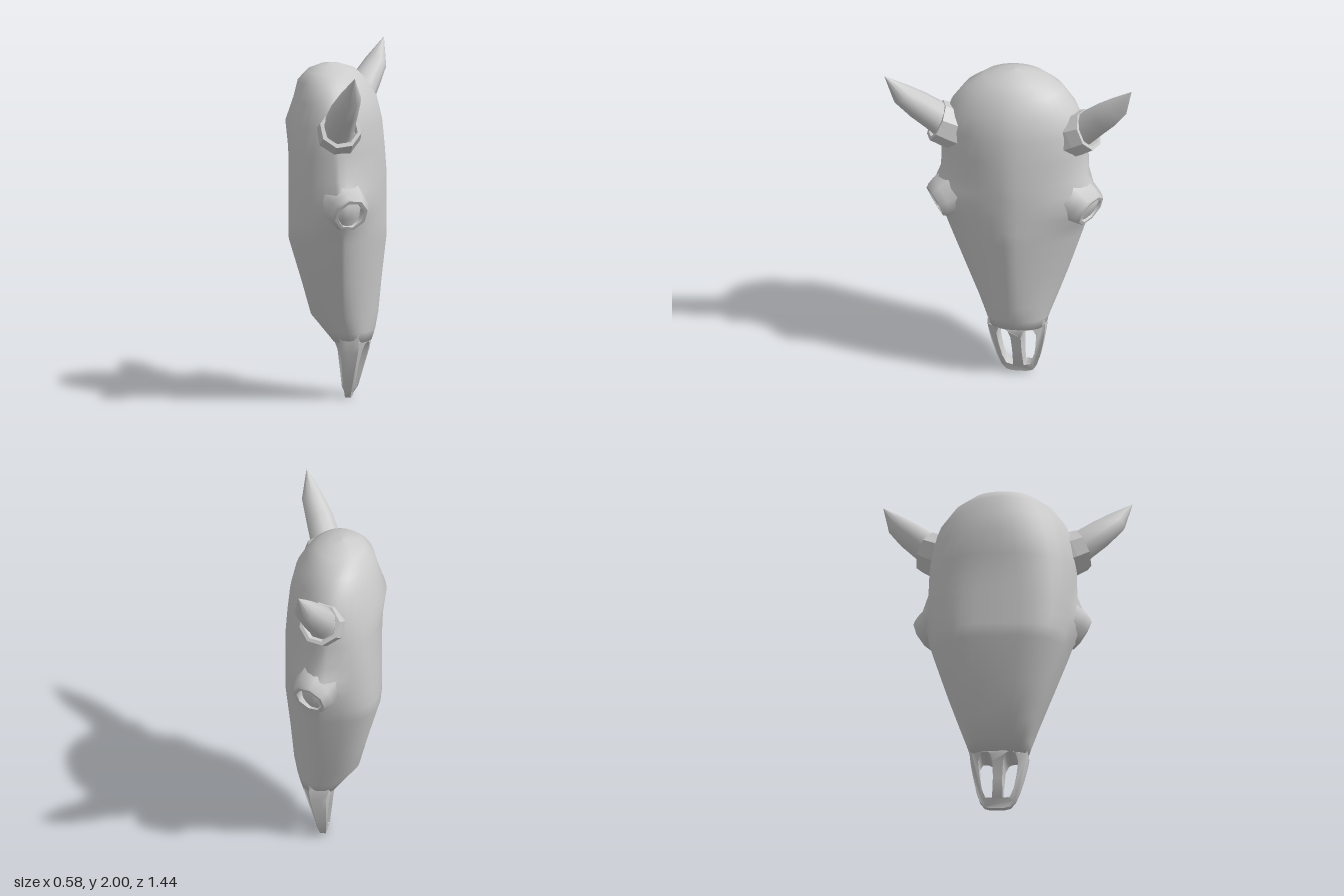
import * as THREE from 'three';
import { toCreasedNormals } from 'three/addons/utils/BufferGeometryUtils.js';

const V = (x, y, z) => new THREE.Vector3(x, y, z);
const material = new THREE.MeshStandardMaterial({ color: 0xcccccc, side: THREE.DoubleSide });
const facetedMaterial = new THREE.MeshStandardMaterial({ color: 0xcccccc, side: THREE.DoubleSide, flatShading: true });

function addMesh(parent, name, geometry, mat = material) {
  const mesh = new THREE.Mesh(geometry, mat);
  mesh.name = name;
  parent.add(mesh);
  return mesh;
}

// Skin a list of closed rings, each with the same number of points
function loft(rings) {
  const n = rings[0].length, index = [];
  for (let i = 0; i < rings.length - 1; i++) {
    for (let j = 0; j < n; j++) {
      const a = i * n + j, b = i * n + (j + 1) % n;
      index.push(a, a + n, b, b, a + n, b + n);
    }
  }
  const geometry = new THREE.BufferGeometry().setFromPoints(rings.flat());
  geometry.setIndex(index);
  geometry.computeVertexNormals();
  return geometry;
}

// Cranium and muzzle: [height, back, widest point, front, half width, back power, front power]
// (a power below 1 squares the section off, above 1 bevels it)
function skullGeometry() {
  const sections = [
    [0.345, 0.08, 0.09, 0.1, 0.005, 0.7, 0.9],
    [0.34, -0.02, 0.09, 0.195, 0.164, 0.6, 0.85],
    [0.4, -0.07, 0.08, 0.215, 0.185, 0.65, 1],
    [0.5, -0.15, 0.06, 0.235, 0.225, 0.65, 1.15],
    [0.7, -0.2, 0.06, 0.255, 0.3, 0.62, 1.3],
    [0.95, -0.27, 0.07, 0.285, 0.385, 0.62, 1.35],
    [1.03, -0.27, 0.06, 0.285, 0.4, 0.62, 1.3],
    [1.11, -0.27, 0.06, 0.285, 0.41, 0.65, 1.25],
    [1.18, -0.27, 0.06, 0.285, 0.415, 0.67, 1.25],
    [1.25, -0.27, 0.05, 0.285, 0.42, 0.7, 1.25],
    [1.33, -0.27, 0.04, 0.285, 0.42, 0.74, 1.25],
    [1.47, -0.275, 0.03, 0.275, 0.425, 0.85, 1.2],
    [1.62, -0.295, 0.02, 0.26, 0.415, 1.05, 1.12],
    [1.75, -0.25, 0, 0.23, 0.365, 1.1, 1.1],
    [1.85, -0.225, -0.02, 0.17, 0.285, 1.1, 1.1],
    [1.91, -0.17, -0.04, 0.11, 0.18, 1, 1],
    [1.94, -0.1, -0.04, 0.03, 0.08, 1, 1],
    [1.95, -0.041, -0.04, -0.039, 0.001, 1, 1],
  ];
  const sides = 36;
  return loft(sections.map(([y, back, mid, front, w, backPower, frontPower]) =>
    Array.from({ length: sides }, (_, j) => {
      const t = (j / sides) * Math.PI * 2, c = Math.cos(t), s = Math.sin(t);
      const p = c > 0 ? frontPower : backPower;
      const depth = c > 0 ? front - mid : mid - back;
      const x = mid + depth * Math.sign(c) * Math.abs(c) ** p;
      const z = w * Math.sign(s) * Math.abs(s) ** p;
      // Swelling of the brow around each eye
      const swell = 0.1 * Math.exp(-((x - 0.13) ** 2 + (y - 1.18) ** 2) / 0.014);
      return V(x, y, z + Math.sign(z) * swell * Math.min(1, Math.abs(z) / 0.3));
    })));
}

// Snout: plate with two nostril openings, its thickness tapering to the tip
function snoutGeometry() {
  const half = [[0.04, 0.003], [0.075, 0.012], [0.102, 0.05], [0.126, 0.12], [0.145, 0.2], [0.16, 0.28], [0.168, 0.345], [0.165, 0.385]];
  const mirrored = half.map(([x, y]) => [-x, y]).reverse();
  const shape = new THREE.Shape([...half, ...mirrored].map(([x, y]) => new THREE.Vector2(x, y)));
  const nostril = [[0.03, 0.06], [0.027, 0.18], [0.03, 0.28], [0.045, 0.325], [0.065, 0.337], [0.1, 0.335], [0.116, 0.29], [0.108, 0.21], [0.092, 0.12], [0.07, 0.065]];
  for (const s of [1, -1]) {
    shape.holes.push(new THREE.Path(nostril.map(([x, y]) => new THREE.Vector2(s * x, y))));
  }
  const profile = [[0, 0.045, 0.08], [0.05, 0.025, 0.11], [0.28, 0, 0.18], [0.345, -0.022, 0.197], [0.4, -0.05, 0.205]];
  const geometry = new THREE.ExtrudeGeometry(shape, { depth: 1, steps: 3, bevelEnabled: false });
  const p = geometry.attributes.position;
  for (let i = 0; i < p.count; i++) {
    const X = p.getX(i), y = p.getY(i), d = p.getZ(i);
    const k = Math.max(1, profile.findIndex((q) => q[0] >= y));
    const a = profile[k - 1], b = profile[k], f = (y - a[0]) / (b[0] - a[0]);
    const back = THREE.MathUtils.lerp(a[1], b[1], f), front = THREE.MathUtils.lerp(a[2], b[2], f);
    const w = 0.1 + 0.21 * y;
    const round = Math.sqrt(Math.max(0.25, 1 - (X / w) ** 2));
    p.setXYZ(i, (back + front) / 2 + (d - 0.5) * (front - back) * round, y, -X);
  }
  return toCreasedNormals(geometry, 1.2);
}

// Horn: a few rings along a gentle curve, staying stout until the last stretch
function hornGeometry(side) {
  const stations = [
    [0.06, 1.62, 0.4, 0.092], [0.075, 1.68, 0.46, 0.09],
    [0.11, 1.76, 0.545, 0.082], [0.155, 1.85, 0.63, 0.064], [0.19, 1.98, 0.72, 0.001],
  ];
  const curve = new THREE.CatmullRomCurve3(stations.map(([x, y, z]) => V(x, y, z * side)));
  const sides = 10;
  return loft(stations.map(([, , , r], i) => {
    const t = i / (stations.length - 1), centre = curve.getPoint(t), tangent = curve.getTangent(t);
    const u = V(1, 0, 0).cross(tangent).normalize(), v = u.clone().cross(tangent);
    return Array.from({ length: sides }, (_, j) => {
      const a = (j / sides) * Math.PI * 2;
      return centre.clone().addScaledVector(u, r * Math.cos(a)).addScaledVector(v, r * Math.sin(a));
    });
  }));
}

// Turned part whose axis points along a direction
function addTurned(parent, name, profile, centre, direction, mat) {
  const points = profile.map(([r, h]) => new THREE.Vector2(r, h));
  const geometry = new THREE.LatheGeometry(points, 8);
  const mesh = addMesh(parent, name, mat ? geometry : toCreasedNormals(geometry, 0.8), mat);
  mesh.position.copy(centre);
  mesh.quaternion.setFromUnitVectors(V(0, 1, 0), direction.normalize());
}

export function createModel() {
  const model = new THREE.Group();
  model.name = 'hornedSkull';
  const skull = new THREE.Group();
  skull.name = 'skull';
  model.add(skull);

  addMesh(skull, 'cranium', skullGeometry());
  addMesh(skull, 'snout', snoutGeometry());

  for (const s of [1, -1]) {
    const label = s > 0 ? 'front' : 'back';
    // Short flared socket with a recessed eye opening
    addTurned(skull, label + 'EyeSocket',
      [[0.145, -0.13], [0.127, -0.05], [0.113, -0.015], [0.102, 0], [0.083, 0], [0.075, -0.05], [0.001, -0.055]],
      V(0.135, 1.135, 0.455 * s), V(0.45, -0.38, 0.8 * s));
    // Faceted collar around the horn root
    addTurned(skull, label + 'HornCollar',
      [[0.132, -0.17], [0.13, -0.08], [0.122, 0], [0.1, 0], [0.088, -0.03]],
      V(0.075, 1.642, 0.445 * s), V(0.22, 0.42, 0.8 * s), facetedMaterial);
    addMesh(skull, label + 'Horn', hornGeometry(s));
  }

  // The whole skull leans and turns slightly
  skull.rotation.set(0.025, 0.083, 0);
  skull.position.set(0, 0, -0.025);
  return model;
}
